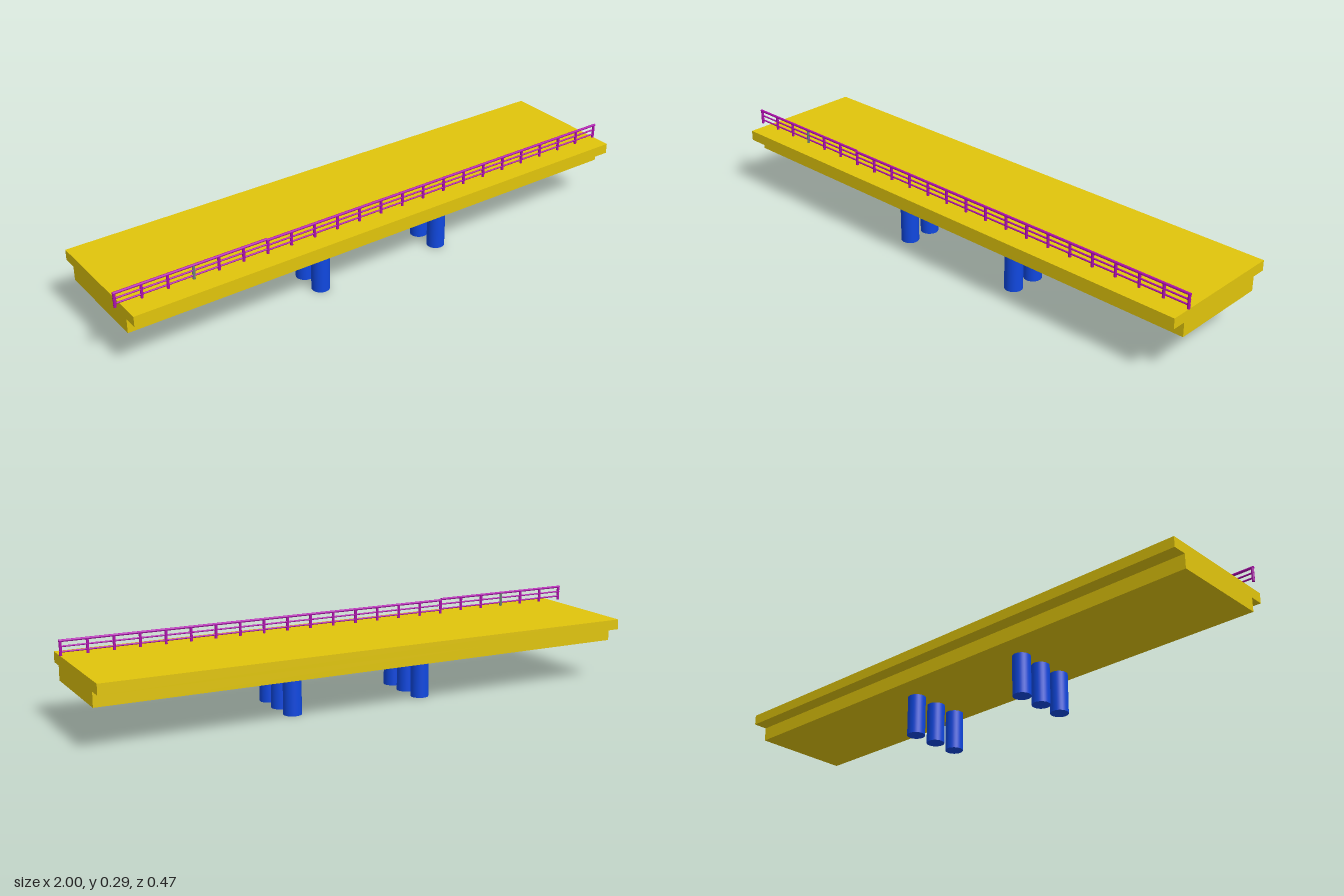
import * as THREE from 'three';

const paint = (color) => new THREE.MeshStandardMaterial({ color });

export function createModel() {
  const model = new THREE.Group();
  const yellow = paint(0xe0c40c), blue = paint(0x1048e0);
  const magenta = paint(0xb010b0), grey = paint(0x70807c);

  const add = (name, geometry, material, x, y, z, parent = model) => {
    const mesh = new THREE.Mesh(geometry, material);
    mesh.name = name;
    mesh.position.set(x, y, z);
    parent.add(mesh);
    return mesh;
  };

  // Deck: wide slab on a narrower girder, as one stepped section
  const half = [[0.185, 0.147], [0.185, 0.198], [0.237, 0.198], [0.237, 0.235]];
  const section = new THREE.Shape([
    ...half.map(([z, y]) => new THREE.Vector2(z, y)),
    ...half.slice().reverse().map(([z, y]) => new THREE.Vector2(-z, y)),
  ]);
  const deckGeometry = new THREE.ExtrudeGeometry(section, { depth: 1.97, bevelEnabled: false });
  deckGeometry.rotateY(Math.PI / 2);
  add('deck', deckGeometry, yellow, -0.972, 0, 0);

  // Two rows of three round piers
  const pierGeometry = new THREE.CylinderGeometry(0.032, 0.032, 0.147, 32);
  for (const x of [-0.225, 0.275])
    for (const z of [0.126, 0.029, -0.069]) add('pier', pierGeometry, blue, x, 0.0735, z);

  // Railing along one side, its first stretch set slightly higher
  const railing = new THREE.Group();
  railing.name = 'railing';
  model.add(railing);
  const zRail = 0.164, split = -0.455, bays = 22, step = 1.99 / bays;

  const addRails = (x0, x1, lift) => {
    for (const [y, r] of [[0.285, 0.0045], [0.266, 0.003], [0.248, 0.003]]) {
      const geometry = new THREE.CylinderGeometry(r, r, x1 - x0, 12);
      geometry.rotateZ(Math.PI / 2);
      add('rail', geometry, magenta, (x0 + x1) / 2, y + lift, zRail, railing);
    }
  };
  addRails(-1, split, 0.004);
  addRails(split, 1, 0);

  // Evenly spaced posts, one of them grey
  const postGeometry = new THREE.CylinderGeometry(0.005, 0.005, 0.05, 12);
  for (let i = 0; i <= bays; i++) {
    const x = -0.995 + i * step;
    const lift = x < split - 0.02 ? 0.004 : 0;
    add('post', postGeometry, i === 3 ? grey : magenta, x, 0.26 + lift, zRail, railing);
  }
  return model;
}
